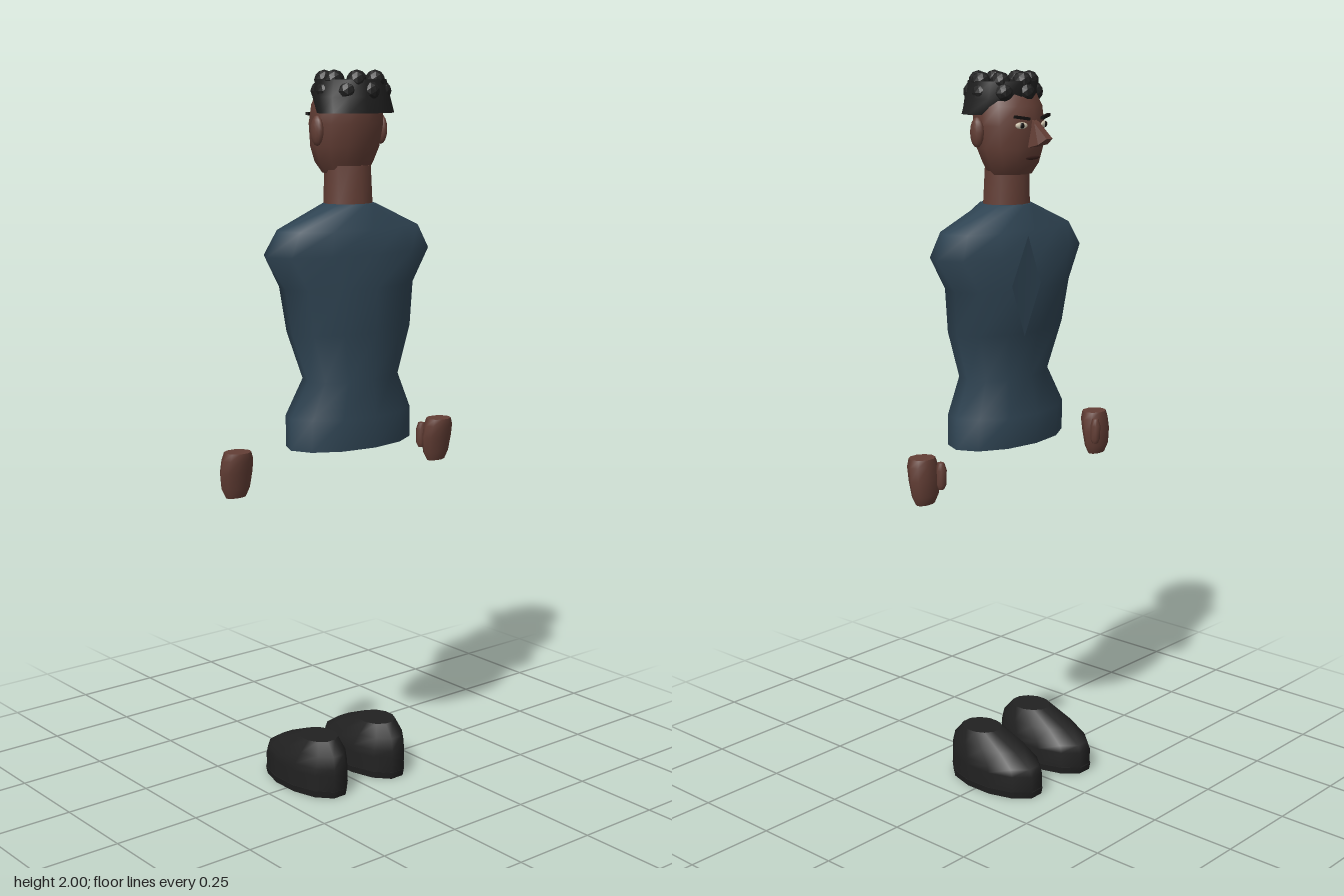
import * as THREE from 'three';
import { ConvexGeometry } from 'three/addons/geometries/ConvexGeometry.js';

const mat = (name, color, extra = {}) => {
  const m = new THREE.MeshStandardMaterial({ color, ...extra });
  m.name = name;
  return m;
};

// Closed skin over stacked elliptical rings: [y, half width, front z, back z]
function loft(rings, sides = 12, phase = 0, grow = 1) {
  const pos = [], index = [];
  const ring = ([y, rx, zf, zb]) => {
    for (let j = 0; j < sides; j++) {
      const a = (j + phase) / sides * Math.PI * 2;
      pos.push(rx * grow * Math.cos(a), y, (zf + zb) / 2 + (zb - zf) / 2 * grow * Math.sin(a));
    }
  };
  rings.forEach(ring);
  for (let i = 0; i < rings.length - 1; i++) {
    for (let j = 0; j < sides; j++) {
      const k = (j + 1) % sides;
      const a = i * sides + j, b = i * sides + k, c = a + sides, d = b + sides;
      index.push(a, c, b, b, c, d);
    }
  }
  // caps get their own vertices so the rims stay crisp
  const bottom = pos.length / 3;
  ring(rings[0]);
  const top = pos.length / 3;
  ring(rings[rings.length - 1]);
  for (let j = 1; j < sides - 1; j++) {
    index.push(bottom, bottom + j, bottom + j + 1, top, top + j + 1, top + j);
  }
  const g = new THREE.BufferGeometry();
  g.setAttribute('position', new THREE.Float32BufferAttribute(pos, 3));
  g.setIndex(index);
  g.computeVertexNormals();
  return g;
}

export function createModel() {
  const skin = mat('skin', 0x633e35);
  const shirt = mat('shirt', 0x2f4453, { side: THREE.DoubleSide });
  const hair = mat('hair', 0x1f1f1f);
  const curlMat = mat('curl', 0x1f1f1f, { flatShading: true });
  const shoeMat = mat('shoe', 0x212121);
  const eyeWhite = mat('eye white', 0xd3c8b2);
  const dark = mat('dark detail', 0x141110);
  const lip = mat('lip', 0x3a201c);

  const model = new THREE.Group();
  const head = new THREE.Group();
  head.name = 'head';
  model.add(head);
  const add = (parent, name, geo, material, x = 0, y = 0, z = 0) => {
    const m = new THREE.Mesh(geo, material);
    m.name = name;
    m.position.set(x, y, z);
    parent.add(m);
    return m;
  };

  // torso
  add(model, 'torso', loft([
    [0.995, 0.202, -0.065, 0.162], [1.08, 0.2, -0.07, 0.165], [1.18, 0.148, -0.043, 0.155],
    [1.31, 0.195, -0.07, 0.167], [1.43, 0.21, -0.09, 0.169], [1.52, 0.275, -0.078, 0.165],
    [1.585, 0.235, -0.056, 0.15], [1.65, 0.07, -0.025, 0.12],
  ]), shirt);

  // diamond-shaped chest flap
  const flap = new THREE.BufferGeometry();
  flap.setAttribute('position', new THREE.Float32BufferAttribute([
    0.075, 1.58, -0.1, 0.13, 1.45, -0.092, 0.08, 1.31, -0.092, 0.03, 1.45, -0.105], 3));
  flap.setIndex([0, 1, 2, 0, 2, 3]);
  flap.computeVertexNormals();
  add(model, 'chestFlap', flap, shirt);

  // neck and skull
  add(model, 'neck', loft([[1.63, 0.07, -0.018, 0.108], [1.75, 0.066, -0.015, 0.1]]), skin);
  add(head, 'skull', loft([
    [1.73, 0.064, -0.025, 0.088], [1.76, 0.084, -0.044, 0.1], [1.8, 0.098, -0.054, 0.117],
    [1.86, 0.104, -0.058, 0.13], [1.91, 0.099, -0.052, 0.135], [1.95, 0.085, -0.03, 0.125],
  ]), skin);

  // nose
  const nosePoints = [[0.008, 1.878, -0.05], [0.011, 1.868, -0.064], [0.012, 1.828, -0.108],
    [0.02, 1.812, -0.085], [0.02, 1.803, -0.05]];
  add(head, 'nose', new ConvexGeometry(nosePoints.flatMap(([x, y, z]) =>
    [new THREE.Vector3(x, y, z), new THREE.Vector3(-x, y, z)])), skin);

  // mouth
  add(head, 'mouth', new THREE.SphereGeometry(1, 12, 8), lip, 0, 1.776, -0.049)
    .scale.set(0.028, 0.006, 0.004);

  // cropped hair, lower at the back
  add(head, 'hairCap', loft([
    [1.888, 0.116, -0.002, 0.156], [1.93, 0.111, -0.035, 0.153], [1.975, 0.1, -0.032, 0.146],
  ], 14), hair);
  const curl = new THREE.IcosahedronGeometry(0.027, 1);
  for (const [count, radius, y, turn] of [[7, 0.073, 1.973, 0.25], [8, 0.084, 1.945, 0]]) {
    for (let i = 0; i < count; i++) {
      const a = (i + turn) / count * Math.PI * 2;
      add(head, 'curl', curl, curlMat, radius * Math.cos(a), y, 0.056 + radius * 0.92 * Math.sin(a));
    }
  }

  const ball = new THREE.SphereGeometry(1, 12, 8);
  for (const s of [1, -1]) {
    // eye, pupil and brow lie on the face, turned to follow its curve
    const eye = new THREE.Group();
    eye.name = 'eye';
    eye.position.set(s * 0.046, 1.862, -0.05);
    eye.rotation.y = -s * 0.3;
    head.add(eye);
    add(eye, 'eyeWhite', ball, eyeWhite).scale.set(0.019, 0.009, 0.005);
    add(eye, 'pupil', ball, dark, 0, 0, -0.003).scale.set(0.007, 0.008, 0.004);
    const brow = add(eye, 'brow', new THREE.BoxGeometry(0.046, 0.008, 0.009), dark, 0, 0.02, -0.003);
    brow.rotation.z = s * 0.15;

    // ear
    add(head, 'ear', ball, skin, s * 0.11, 1.843, 0.05).scale.set(0.015, 0.04, 0.021);

    // hand and thumb
    const hand = new THREE.Group();
    hand.name = 'hand';
    hand.position.x = s * 0.36;
    model.add(hand);
    add(hand, 'palm', loft([
      [0.885, 0.031, -0.005, 0.03], [0.91, 0.044, -0.014, 0.038], [0.955, 0.05, -0.015, 0.046],
      [0.99, 0.046, -0.013, 0.056], [1.01, 0.038, -0.01, 0.056],
    ], 10), skin);
    add(hand, 'thumb', loft([
      [0.922, 0.008, -0.02, -0.004], [0.935, 0.014, -0.026, 0.002], [0.975, 0.015, -0.027, 0.002],
      [0.995, 0.009, -0.02, -0.002],
    ], 8), skin, -s * 0.036);

    // shoe and sole
    const shoe = new THREE.Group();
    shoe.name = 'shoe';
    shoe.position.x = s * 0.107;
    model.add(shoe);
    add(shoe, 'upper', loft([
      [0.018, 0.081, -0.164, 0.145], [0.065, 0.081, -0.164, 0.145], [0.085, 0.078, -0.155, 0.145],
      [0.12, 0.068, -0.1, 0.137], [0.156, 0.05, -0.012, 0.105],
    ], 12, 0.5, 1.03), shoeMat);
    add(shoe, 'sole', loft([
      [0, 0.079, -0.162, 0.142], [0.02, 0.083, -0.166, 0.146],
    ], 12, 0.5, 1.03), shoeMat);
  }
  return model;
}
